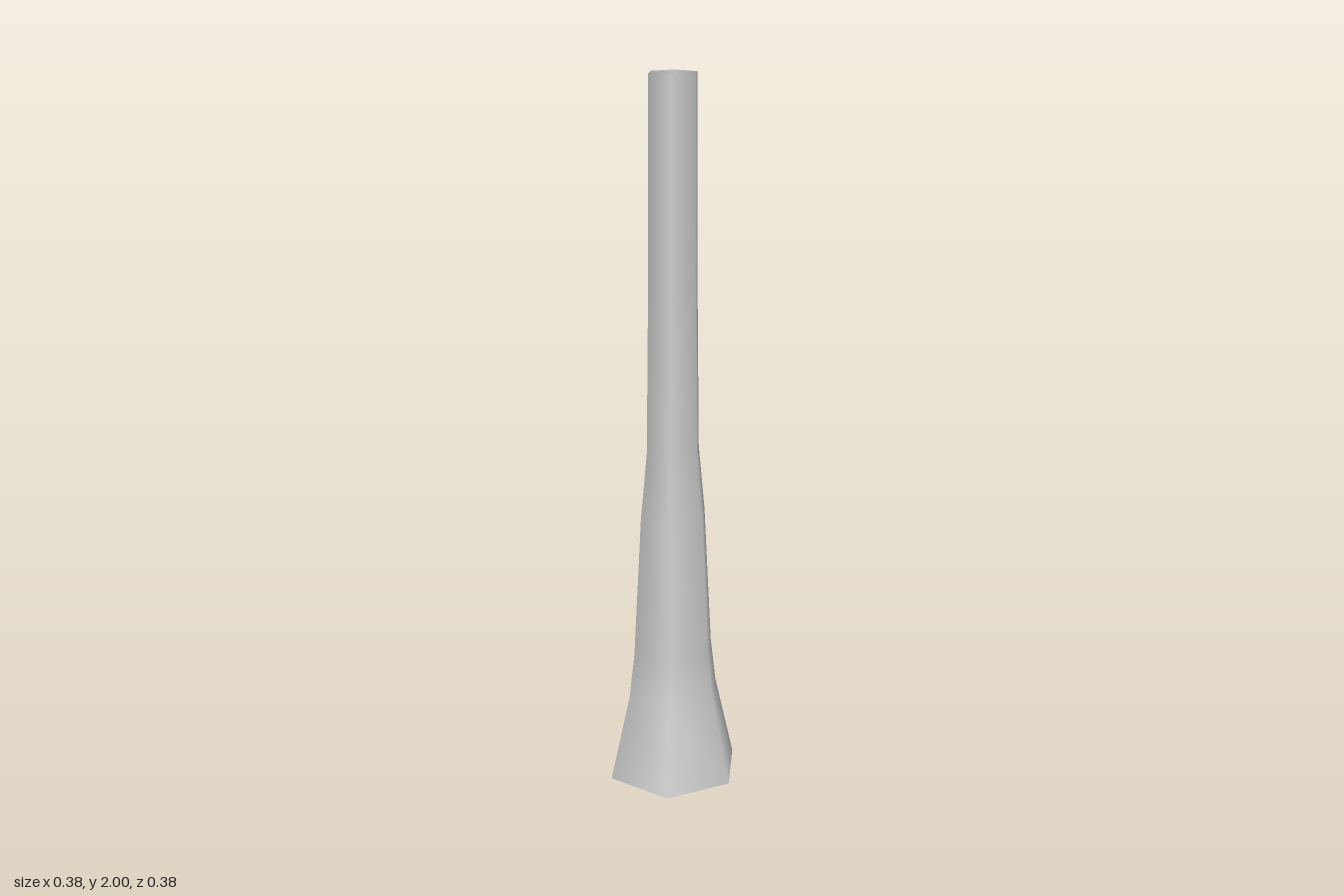
import * as THREE from 'three';

export function createModel() {
  const group = new THREE.Group();
  group.name = 'flaredPipe';

  const grey = new THREE.MeshStandardMaterial({ color: 0xcccccc, side: THREE.DoubleSide });
  grey.name = 'light grey';

  // Corner radius and height, from the flared foot to the open top
  const profile = [
    [0.196, 0], [0.137, 0.25], [0.121, 0.38], [0.098, 0.79],
    [0.079, 0.98], [0.073, 1.43], [0.07, 2],
  ].map(([r, y]) => new THREE.Vector2(r, y));

  // Six-sided smooth tube, open at both ends and turned by 15 degrees
  const tube = new THREE.Mesh(new THREE.LatheGeometry(profile, 6, Math.PI / 12), grey);
  tube.name = 'tube';
  group.add(tube);

  return group;
}
